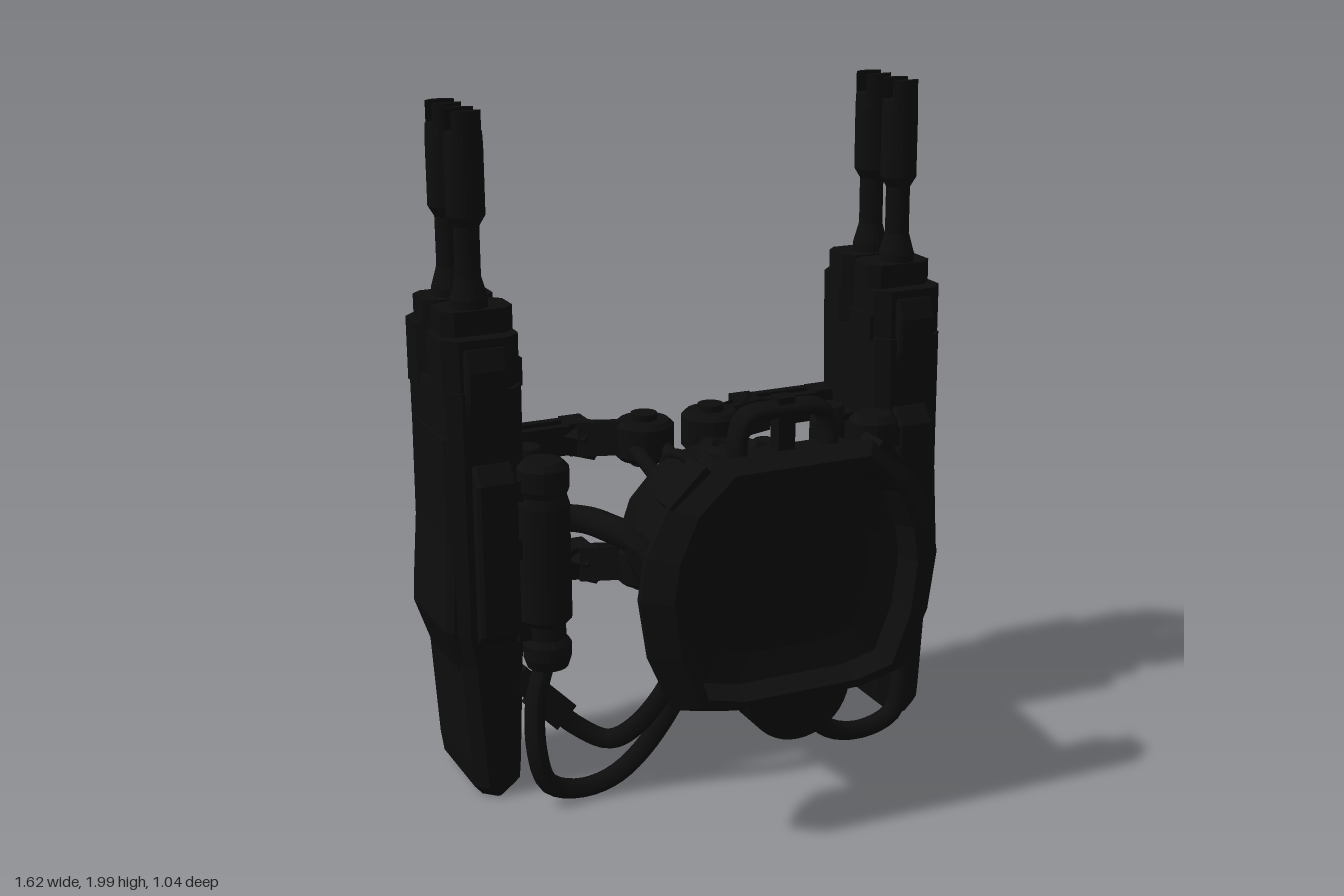
import * as THREE from 'three';

const dark = new THREE.MeshStandardMaterial({ color: 0x0d0d0d });
dark.name = 'matte black';
dark.flatShading = true;
const smooth = new THREE.MeshStandardMaterial({ color: 0x0d0d0d });
smooth.name = 'smooth black';
const V = (p) => new THREE.Vector3(...p);

function add(parent, name, geo, mat = dark) {
  const m = new THREE.Mesh(geo, mat);
  m.name = name;
  parent.add(m);
  return m;
}

// Box given by its minimum and maximum corners
function box(parent, name, a, b) {
  const g = new THREE.BoxGeometry(b[0] - a[0], b[1] - a[1], b[2] - a[2]);
  g.translate((a[0] + b[0]) / 2, (a[1] + b[1]) / 2, (a[2] + b[2]) / 2);
  return add(parent, name, g);
}

// Rod from a to b, or a square bar when a depth is given
function bar(parent, name, a, b, w, d) {
  const A = V(a), B = V(b), len = A.distanceTo(B);
  const g = d ? new THREE.BoxGeometry(w, len, d) : new THREE.CylinderGeometry(w, w, len, 20);
  const m = add(parent, name, g, d ? dark : smooth);
  m.position.copy(A).add(B).multiplyScalar(0.5);
  m.quaternion.setFromUnitVectors(new THREE.Vector3(0, 1, 0), B.sub(A).normalize());
  return m;
}

function hose(parent, name, pts, r) {
  const curve = new THREE.CatmullRomCurve3(pts.map(V));
  return add(parent, name, new THREE.TubeGeometry(curve, 40, r, 10), smooth);
}

function lathe(parent, name, pts, x, y, z, sides = 20) {
  const m = add(parent, name, new THREE.LatheGeometry(pts.map((p) => new THREE.Vector2(...p)), sides));
  m.position.set(x, y, z);
  return m;
}

// Skin over rings of equal length
function loft(rings) {
  const n = rings[0].length, index = [];
  for (let i = 0; i < rings.length - 1; i++)
    for (let j = 0; j < n; j++) {
      const a = i * n + j, b = i * n + (j + 1) % n;
      index.push(a, b, b + n, a, b + n, a + n);
    }
  const g = new THREE.BufferGeometry();
  g.setAttribute('position', new THREE.Float32BufferAttribute(rings.flat(2), 3));
  g.setIndex(index);
  g.computeVertexNormals();
  return g;
}

// Upright chamfered block from sections [y, x0, x1, z0, z1]
function block(parent, name, sections, c) {
  const ring = ([y, x0, x1, z0, z1], k = 1) => [
    [x0, z1 - c], [x0 + c, z1], [x1 - c, z1], [x1, z1 - c],
    [x1, z0 + c], [x1 - c, z0], [x0 + c, z0], [x0, z0 + c],
  ].map(([x, z]) => [(x0 + x1) / 2 * (1 - k) + x * k, y, (z0 + z1) / 2 * (1 - k) + z * k]);
  const last = sections[sections.length - 1];
  return add(parent, name, loft([ring(sections[0], 0), ...sections.map((s) => ring(s)), ring(last, 0)]));
}

// Copy of a group reflected in x, with its corner order restored
function mirrored(group) {
  const out = new THREE.Group();
  group.updateMatrixWorld(true);
  group.traverse((o) => {
    if (!o.isMesh) return;
    const g = o.geometry.clone().applyMatrix4(o.matrixWorld).scale(-1, 1, 1);
    const idx = g.index.array;
    for (let i = 0; i < idx.length; i += 3) [idx[i], idx[i + 1]] = [idx[i + 1], idx[i]];
    g.computeVertexNormals();
    add(out, o.name, g, o.material);
  });
  return out;
}

function buildGun(side) {
  block(side, 'gunBody', [
    [0.01, 0.64, 0.72, -0.39, -0.075], [0.04, 0.605, 0.745, -0.415, -0.07], [0.1, 0.6, 0.75, -0.43, -0.07],
    [0.42, 0.585, 0.77, -0.43, -0.07], [0.52, 0.57, 0.785, -0.45, -0.07], [1.24, 0.565, 0.785, -0.465, -0.07],
  ], 0.035);
  block(side, 'outerArmour', [[0.4, 0.74, 0.77, -0.4, -0.1], [0.53, 0.74, 0.81, -0.43, -0.1],
    [0.62, 0.74, 0.805, -0.43, -0.1], [0.8, 0.74, 0.795, -0.42, -0.1], [1.1, 0.74, 0.793, -0.42, -0.1]], 0.02);
  block(side, 'frontPanel', [[0.49, 0.61, 0.73, -0.1, -0.065], [0.53, 0.61, 0.73, -0.1, -0.025],
    [0.98, 0.61, 0.73, -0.1, -0.025], [1.03, 0.61, 0.73, -0.1, -0.065]], 0.01);
  block(side, 'frontBump', [[1.16, 0.62, 0.74, -0.1, -0.07], [1.21, 0.62, 0.74, -0.1, -0.05],
    [1.3, 0.62, 0.74, -0.1, -0.05], [1.36, 0.62, 0.74, -0.1, -0.07]], 0.008);
  block(side, 'rearFin', [[0.62, 0.645, 0.715, -0.47, -0.4], [0.78, 0.645, 0.715, -0.52, -0.4],
    [1.07, 0.645, 0.715, -0.52, -0.4], [1.1, 0.645, 0.715, -0.48, -0.4]], 0.01);
  block(side, 'rearPanel', [[0.5, 0.61, 0.75, -0.46, -0.4], [1.14, 0.61, 0.75, -0.475, -0.4],
    [1.2, 0.61, 0.75, -0.49, -0.4], [1.3, 0.61, 0.75, -0.49, -0.4], [1.35, 0.61, 0.75, -0.47, -0.4]], 0.015);
  for (let i = 0; i < 4; i++) box(side, 'coolingRib', [0.62, 0.55 + i * 0.03, -0.48], [0.74, 0.565 + i * 0.03, -0.45]);
  box(side, 'innerLatch', [0.555, 1.23, -0.25], [0.57, 1.31, -0.12]);

  for (const [z, z0, z1] of [[-0.19, -0.28, -0.08], [-0.35, -0.47, -0.3]]) {
    block(side, 'barrelHousing', [[1.2, 0.565, 0.79, z0, z1], [1.385, 0.565, 0.79, z0, z1]], 0.04);
    block(side, 'barrelCollar', [[1.35, 0.565, 0.775, z - 0.08, z + 0.06], [1.455, 0.565, 0.775, z - 0.08, z + 0.06]], 0.03);
    lathe(side, 'barrel', [[0, 1.4], [0.053, 1.4], [0.053, 1.48], [0.036, 1.54], [0.036, 1.68], [0.054, 1.71],
      [0.054, 1.9], [0.052, 1.94], [0, 1.94]], 0.68, 0, z);
    // Two rounded prongs at the muzzle
    for (const turn of [0, Math.PI]) {
      const segment = new THREE.Shape().absarc(0, 0, 0.052, Math.PI / 2 - 0.95, Math.PI / 2 + 0.95);
      const g = new THREE.ExtrudeGeometry(segment, { depth: 0.07, bevelEnabled: false, curveSegments: 8 });
      g.rotateX(-Math.PI / 2).rotateY(turn);
      g.setIndex([...Array(g.attributes.position.count).keys()]);
      add(side, 'muzzleProng', g).position.set(0.68, 1.93, z);
    }
  }
}

function buildLinkage(side) {
  // Upright canisters beside the gun
  lathe(side, 'frontCanister', [[0, 0.4], [0.06, 0.41], [0.07, 0.44], [0.07, 0.48], [0.055, 0.5], [0.055, 0.54],
    [0.074, 0.56], [0.074, 0.9], [0.065, 0.93], [0.074, 0.95], [0.074, 1.01], [0.055, 1.03], [0, 1.03]], 0.53, 0, -0.045);
  lathe(side, 'rearCanister', [[0, 0.5], [0.05, 0.51], [0.06, 0.54], [0.06, 0.95], [0.045, 1], [0, 1]], 0.5, 0, -0.27);
  for (const y of [0.53, 0.78, 0.95]) {
    box(side, 'canisterClamp', [0.49, y - 0.03, -0.15], [0.62, y + 0.03, -0.03]);
    box(side, 'canisterClamp', [0.5, y - 0.03, -0.33], [0.6, y + 0.03, -0.22]);
  }
  hose(side, 'bentPipe', [[0.27, 0.77, 0.02], [0.3, 0.77, -0.1], [0.34, 0.77, -0.21], [0.42, 0.77, -0.27], [0.52, 0.77, -0.28]], 0.042);

  // Two folding arms, one above the other
  for (const y of [0.57, 0.965]) {
    lathe(side, 'armPivot', [[0, -0.06], [0.075, -0.06], [0.09, -0.045], [0.09, 0.045], [0.075, 0.06], [0, 0.06]], 0.11, y, -0.3);
    lathe(side, 'pivotCap', [[0, -0.08], [0.04, -0.08], [0.04, 0.08], [0, 0.08]], 0.11, y, -0.3);
    for (const x of [0.07, 0.16]) bar(side, 'pivotMount', [x, y, -0.3], [x, y + (0.77 - y) * 0.3, -0.08], 0.022);
    bar(side, 'innerArm', [0.13, y, -0.31], [0.3, y, -0.365], 0.1, 0.09);
    bar(side, 'innerArm', [0.25, y, -0.34], [0.31, y, -0.43], 0.08, 0.09);
    bar(side, 'armStrut', [0.12, y + 0.02, -0.39], [0.27, y + 0.02, -0.455], 0.025, 0.04);
    for (const z of [-0.45, -0.385]) bar(side, 'outerArm', [0.27, y, z], [0.6, y, z], 0.09, 0.03);
    box(side, 'armJoint', [0.25, y - 0.05, -0.465], [0.32, y + 0.05, -0.37]);
    box(side, 'armSocket', [0.51, y - 0.05, -0.455], [0.6, y + 0.05, -0.37]);
  }

  // Hanging hoses and their connectors
  hose(side, 'longHose', [[0.13, 0.54, 0.11], [0.16, 0.36, 0.1], [0.27, 0.14, 0.05], [0.37, 0.055, 0.035], [0.48, 0.04, 0.035],
    [0.57, 0.08, 0.04], [0.6, 0.18, 0.035], [0.585, 0.31, -0.01], [0.54, 0.42, -0.045]], 0.03);
  hose(side, 'shortHose', [[0.15, 0.54, 0.1], [0.2, 0.36, 0.09], [0.29, 0.2, 0.03], [0.35, 0.14, -0.04], [0.43, 0.18, -0.08], [0.56, 0.31, -0.11]], 0.03);
  bar(side, 'hoseConnector', [0.47, 0.22, -0.09], [0.55, 0.3, -0.11], 0.09, 0.08);
  bar(side, 'hoseConnector', [0.52, 0.27, -0.11], [0.6, 0.36, -0.13], 0.07, 0.07);
}

function buildBody(root) {
  // Bullet-shaped hull with a wrinkled rear
  const profile = [[0.36, 0.97], [0.3, 0.97], [0.18, 0.98], [0.1, 1], [0.02, 1], [-0.03, 0.97],
    [-0.08, 0.85], [-0.12, 0.67], [-0.15, 0.45], [-0.168, 0.2], [-0.172, 0]];
  const rings = profile.map(([z, k], i) => Array.from({ length: 28 }, (_, j) => {
    const a = -j / 28 * Math.PI * 2;
    const r = k * (1 + (z < 0.25 ? 0.014 * Math.sin(j * 2.3 + i * 1.9) : 0));
    return [0.31 * r * Math.cos(a), 0.77 + (z > 0.2 ? 0.235 : 0.262) * r * Math.sin(a), z];
  }));
  add(root, 'hull', loft(rings));

  // Polygonal front rim with a shallow dish
  const half = [[0.24, 0.355], [0.37, 0.25], [0.435, 0.12], [0.455, 0.0], [0.43, -0.17], [0.36, -0.33], [0.22, -0.36]];
  const outline = [...half.map(([x, y]) => [-x, y]), ...half.slice().reverse()];
  const steps = [[0.34, 0, 0], [0.34, 0.83, 0.92], [0.44, 1, 1], [0.46, 1, 1], [0.52, 0.84, 0.94],
    [0.52, 0.79, 0.88], [0.45, 0.74, 0.82], [0.435, 0.55, 0.6], [0.43, 0, 0]];
  add(root, 'frontRim', loft(steps.map(([z, sx, sy]) => outline.map(([x, y]) => [x * sx, 0.77 + y * sy, z]))));
  for (const s of [-1, 1])
    bar(root, 'rimClamp', [s * 0.25, 1.105, 0.42], [s * 0.355, 1.005, 0.42], 0.05, 0.1);
  // Half-round chin under the rim
  const chin = new THREE.CylinderGeometry(0.16, 0.16, 0.14, 20, 1, false, -Math.PI / 2, Math.PI);
  chin.rotateX(Math.PI / 2);
  add(root, 'chinBlock', chin).position.set(0, 0.46, 0.43);
  hose(root, 'lowerHandle', [[-0.24, 0.47, 0.37], [-0.21, 0.435, 0.33], [0, 0.43, 0.32], [0.21, 0.435, 0.33], [0.24, 0.47, 0.37]], 0.022);

  // Carrying handle, deeper than it is thick
  const handle = hose(root, 'topHandle', [[-0.135, 1.06, 0], [-0.135, 1.17, 0], [-0.11, 1.22, 0], [0, 1.228, 0],
    [0.11, 1.22, 0], [0.135, 1.17, 0], [0.135, 1.06, 0]], 0.024);
  handle.position.z = 0.39;
  handle.scale.z = 1.8;
  box(root, 'handlePost', [-0.025, 1.06, 0.365], [0.025, 1.265, 0.415]);
  box(root, 'handleBase', [-0.19, 1.07, 0.35], [0.19, 1.115, 0.46]);

  // Fittings along the top of the hull
  for (const x of [-0.14, -0.05, 0.05, 0.14])
    hose(root, 'topRail', [[x, 0.975, 0.29], [x, 1.005, 0.15], [x, 1.01, 0.02], [x, 0.97, -0.07], [x, 0.84, -0.14]], 0.016);
  lathe(root, 'topHatch', [[0, 0.98], [0.085, 0.98], [0.085, 1.03], [0.065, 1.045], [0.05, 1.03], [0, 1.03]], 0, 0, 0.09, 24);
  box(root, 'topPlate', [-0.06, 0.97, 0.16], [0.06, 1.015, 0.3]);
}

export function createModel() {
  const root = new THREE.Group();
  root.name = 'twinGunUnit';
  buildBody(root);
  const left = new THREE.Group();
  buildGun(left);
  buildLinkage(left);
  const right = mirrored(left);
  left.name = 'leftAssembly';
  right.name = 'rightAssembly';
  root.add(left, right);
  return root;
}
